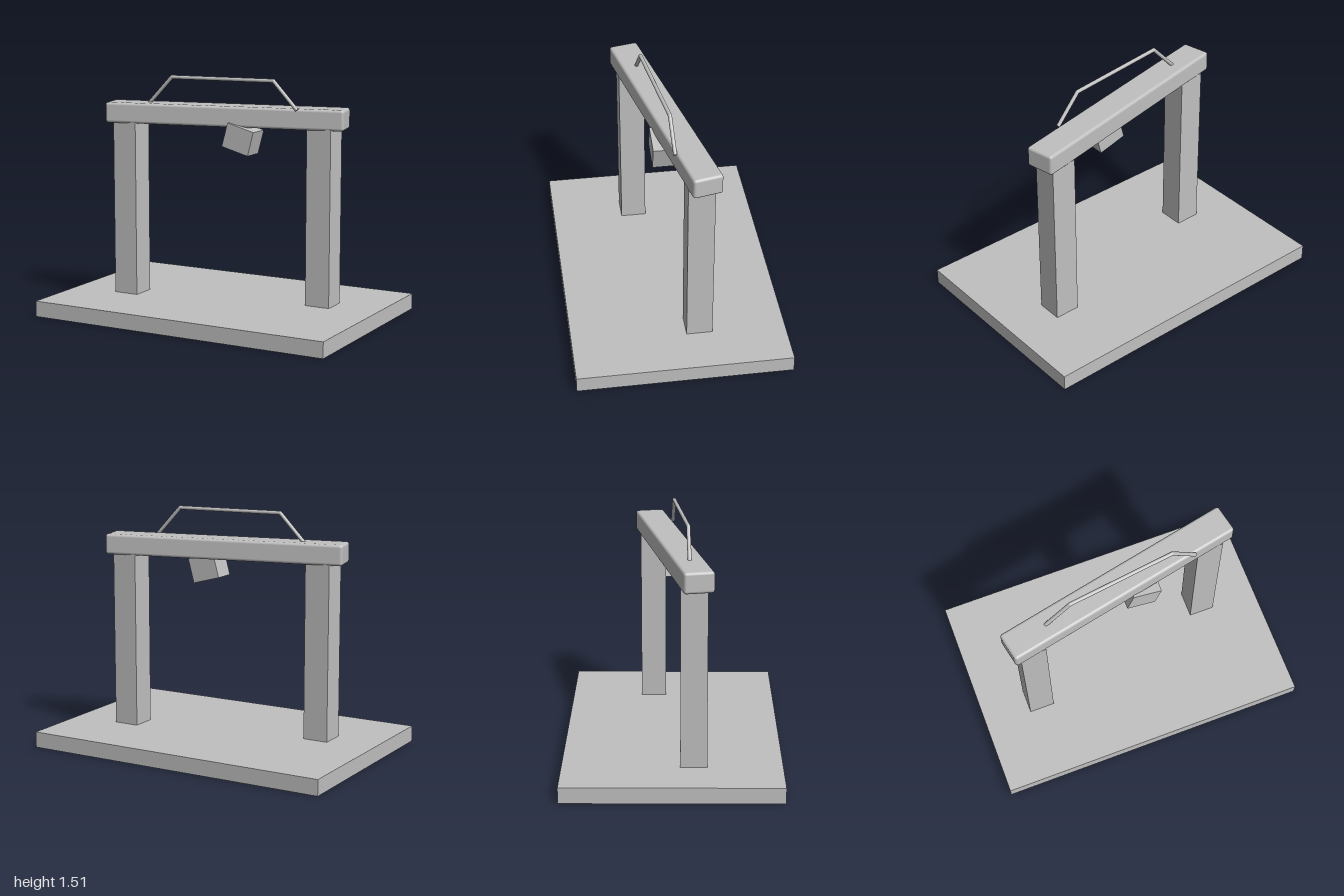
import * as THREE from 'three';
import { RoundedBoxGeometry } from 'three/addons/geometries/RoundedBoxGeometry.js';

export function createModel() {
  const group = new THREE.Group();
  const grey = new THREE.MeshStandardMaterial({ color: 0xc0c0c0 });
  grey.name = 'plainGrey';

  const add = (name, geometry, x, y, z, parent = group) => {
    const mesh = new THREE.Mesh(geometry, grey);
    mesh.name = name;
    mesh.position.set(x, y, z);
    parent.add(mesh);
    return mesh;
  };

  // Base slab
  add('base', new THREE.BoxGeometry(2, 0.1, 1.334), 0, 0.05, 0);

  // Two square posts, staggered in depth
  for (const side of [-1, 1]) {
    add(side < 0 ? 'rightPost' : 'leftPost',
      new THREE.BoxGeometry(0.162, 1.11, 0.162), side * 0.617, 0.655, side * -0.129);
  }

  // Rounded beam running across the posts
  const beam = add('beam', new RoundedBoxGeometry(1.543, 0.13, 0.185, 3, 0.018), 0, 1.267, 0);
  beam.rotation.y = 0.206;

  // Tilted block hanging under the beam
  const block = add('hangingBlock', new THREE.BoxGeometry(0.187, 0.155, 0.14), 0.133, 1.133, 0.025);
  block.rotation.z = -0.265;

  // Bent rod handle: straight runs with rounded joints
  const handle = new THREE.Group();
  handle.name = 'handle';
  group.add(handle);
  const radius = 0.012;
  const points = [
    [-0.497, 1.325, 0.102], [-0.335, 1.497, 0.094], [0.335, 1.497, 0.008], [0.492, 1.325, -0.001],
  ].map((p) => new THREE.Vector3(...p));
  const up = new THREE.Vector3(0, 1, 0);
  for (let i = 0; i < points.length - 1; i++) {
    const run = points[i + 1].clone().sub(points[i]);
    const mid = points[i].clone().addScaledVector(run, 0.5);
    const rod = add('handleRod', new THREE.CylinderGeometry(radius, radius, run.length(), 16),
      mid.x, mid.y, mid.z, handle);
    rod.quaternion.setFromUnitVectors(up, run.normalize());
    if (i > 0) {
      add('handleJoint', new THREE.SphereGeometry(radius, 16, 12),
        points[i].x, points[i].y, points[i].z, handle);
    }
  }

  return group;
}
